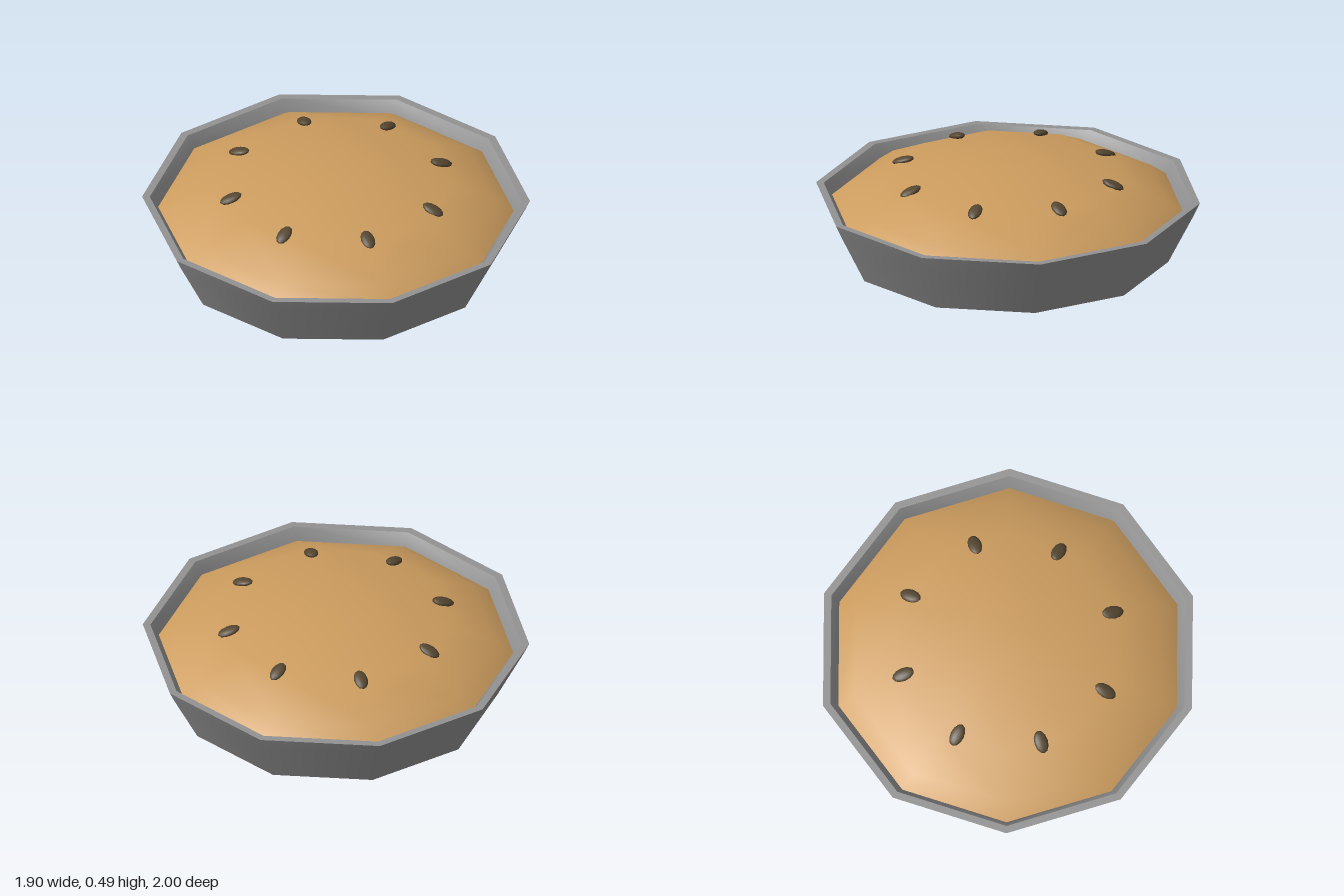
import * as THREE from 'three';

const SIDES = 10;

// Ten-sided surface of revolution; separate pieces keep the edges between them sharp
function ring(name, points, material) {
  const profile = points.map(([r, y]) => new THREE.Vector2(r, y));
  const mesh = new THREE.Mesh(new THREE.LatheGeometry(profile, SIDES), material);
  mesh.name = name;
  return mesh;
}

function mat(name, color) {
  const m = new THREE.MeshStandardMaterial({ color });
  m.name = name;
  return m;
}

export function createModel() {
  const metal = mat('pan grey', 0x929292);
  const crust = mat('crust tan', 0xcc9c5e);
  const dark = mat('slit brown', 0x544630);

  const model = new THREE.Group();
  model.name = 'pie';

  // Pan: floor, flared wall, flat rim and inner wall
  const pan = new THREE.Group();
  pan.name = 'pan';
  pan.add(
    ring('panBase', [[0, 0], [0.835, 0]], metal),
    ring('panOuterWall', [[0.835, 0], [0.97, 0.27], [1, 0.335]], metal),
    ring('panRim', [[1, 0.335], [0.96, 0.335]], metal),
    ring('panInnerWall', [[0.96, 0.335], [0.912, 0.265], [0.82, 0.03]], metal)
  );
  model.add(pan);

  // Domed crust
  model.add(ring('crust', [[0.92, 0.27], [0.83, 0.335], [0.6, 0.443], [0.2, 0.49], [0, 0.492]], crust));

  // Eight radial slits lying on the slope of the dome
  const slits = new THREE.Group();
  slits.name = 'slits';
  const slitGeometry = new THREE.SphereGeometry(1, 12, 8);
  for (let i = 0; i < 8; i++) {
    const angle = (i * Math.PI) / 4;
    const slit = new THREE.Mesh(slitGeometry, dark);
    slit.name = 'slit' + (i + 1);
    slit.scale.set(0.036, 0.018, 0.06);
    slit.position.set(0.567 * Math.sin(angle), 0.449, 0.567 * Math.cos(angle));
    slit.rotation.set(0.3, angle, 0, 'YXZ');
    slits.add(slit);
  }
  model.add(slits);

  return model;
}
